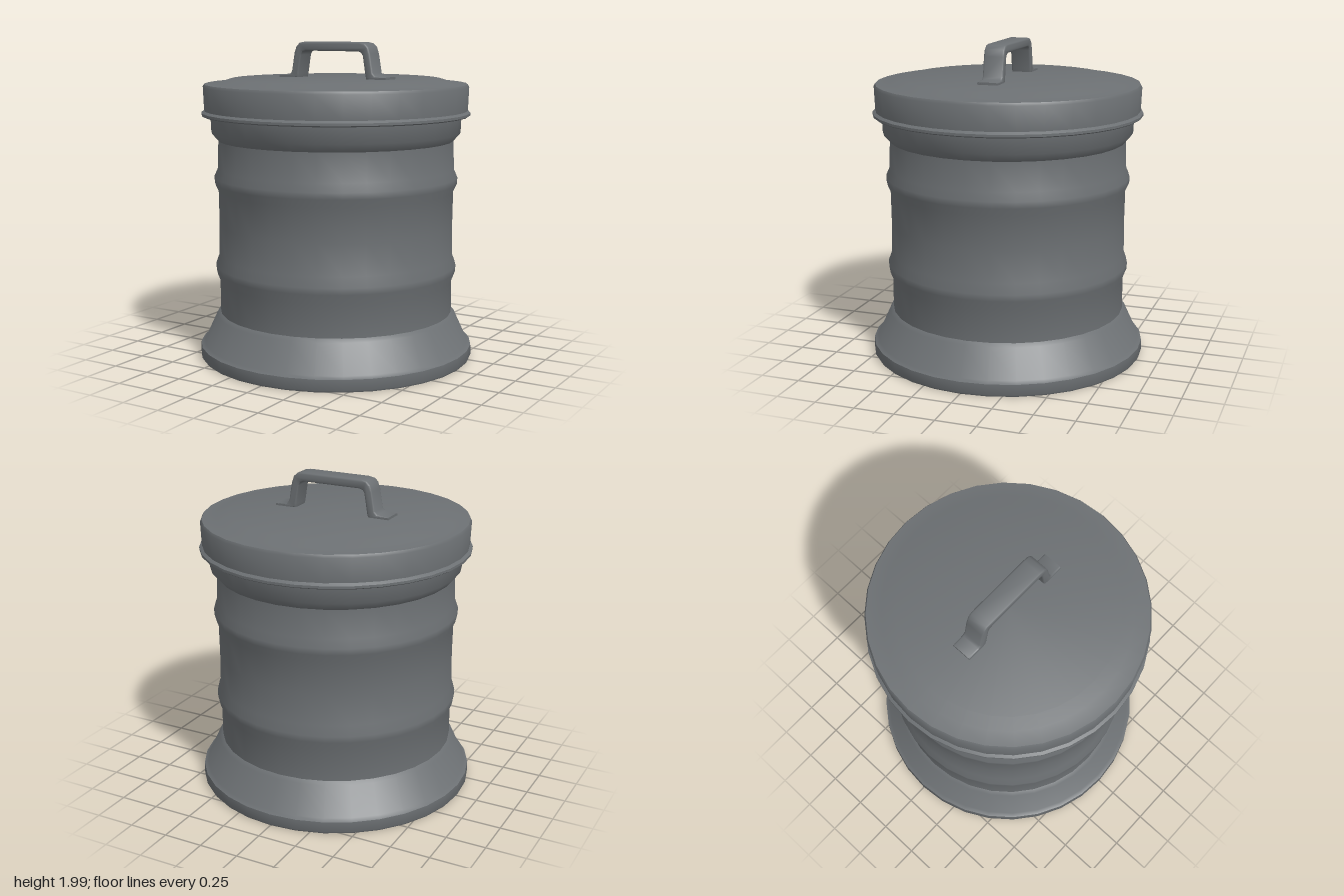
import * as THREE from 'three';
import { toCreasedNormals } from 'three/addons/utils/BufferGeometryUtils.js';

const SIDES = 32;

export function createModel() {
  const group = new THREE.Group();
  const metal = new THREE.MeshStandardMaterial({ color: 0x6c7073 });
  metal.name = 'greyMetal';

  const add = (name, geometry) => {
    const mesh = new THREE.Mesh(geometry, metal);
    mesh.name = name;
    group.add(mesh);
    return mesh;
  };
  // Profiles run from the lower axis, outward and upward
  const turn = (points) => toCreasedNormals(
    new THREE.LatheGeometry(points.map(([r, y]) => new THREE.Vector2(r, y)), SIDES), 0.7);

  // Ribbed body with flared foot and rolled underside
  add('body', turn([
    [0.6, 0.06], [0.64, 0.025], [0.7, 0.008], [0.79, 0.006], [0.865, 0.008],
    [0.872, 0.02], [0.87, 0.085], [0.845, 0.1], [0.765, 0.275], [0.742, 0.295],
    [0.742, 0.5], [0.765, 0.56], [0.767, 0.6], [0.745, 0.66],
    [0.742, 0.86], [0.745, 1.07], [0.768, 1.12], [0.77, 1.16], [0.748, 1.21],
    [0.742, 1.39], [0.785, 1.44], [0.79, 1.56],
  ]));

  // Lid with a lipped skirt and a slightly raised top
  add('lid', turn([
    [0.78, 1.55], [0.835, 1.543], [0.845, 1.55], [0.845, 1.565], [0.828, 1.578],
    [0.834, 1.725], [0.825, 1.742], [0.735, 1.75], [0.66, 1.773], [0, 1.777],
  ]));

  // Crumpled sheet across the underside
  const rings = 9, spokes = 36;
  const sheet = new THREE.RingGeometry(0.001, 0.64, spokes, rings);
  sheet.rotateX(Math.PI / 2);
  const pos = sheet.attributes.position;
  for (let i = 0; i < pos.count; i++) {
    const x = pos.getX(i), z = pos.getZ(i);
    const r = Math.hypot(x, z), a = Math.atan2(z, x);
    const fade = Math.min(1, (0.64 - r) / 0.1);
    const fold = Math.sin(r * 31 + 2 * Math.sin(3 * a)) * 0.6
      + Math.sin(x * 23 + Math.sin(z * 17) * 2) * 0.4;
    const shift = 1 + 0.06 * fade * Math.sin(5 * a + r * 20);
    pos.setXYZ(i, x * shift, 0.035 + 0.02 * fade + 0.035 * fade * fold, z * shift);
  }
  add('crumpledBase', toCreasedNormals(sheet, 0.6));

  // Bent strap handle: one half outline, mirrored, then given thickness in z
  const outer = [[0.385, 1.775], [0.385, 1.788], [0.31, 1.794], [0.292, 1.812],
    [0.272, 1.93], [0.258, 1.97], [0.236, 1.991], [0.2, 1.998]];
  const inner = [[0.19, 1.946], [0.213, 1.938], [0.225, 1.918],
    [0.244, 1.8], [0.25, 1.775]];
  const mirror = (list) => list.map(([x, y]) => [-x, y]).reverse();
  const outline = [...outer, ...mirror(outer), ...mirror(inner), ...inner];
  const strap = new THREE.ExtrudeGeometry(
    new THREE.Shape(outline.map(([x, y]) => new THREE.Vector2(x, y))),
    { depth: 0.106, bevelEnabled: true, bevelThickness: 0.012, bevelSize: 0.01,
      bevelOffset: -0.008, bevelSegments: 2 });
  strap.translate(0, 0, -0.058);
  add('handle', toCreasedNormals(strap, 0.8));

  // Foot plates under the handle
  for (const side of [-1, 1]) {
    const plate = add(side > 0 ? 'leftFootPlate' : 'rightFootPlate',
      new THREE.BoxGeometry(0.12, 0.02, 0.13));
    plate.position.set(side * 0.327, 1.777, -0.005);
  }
  return group;
}
